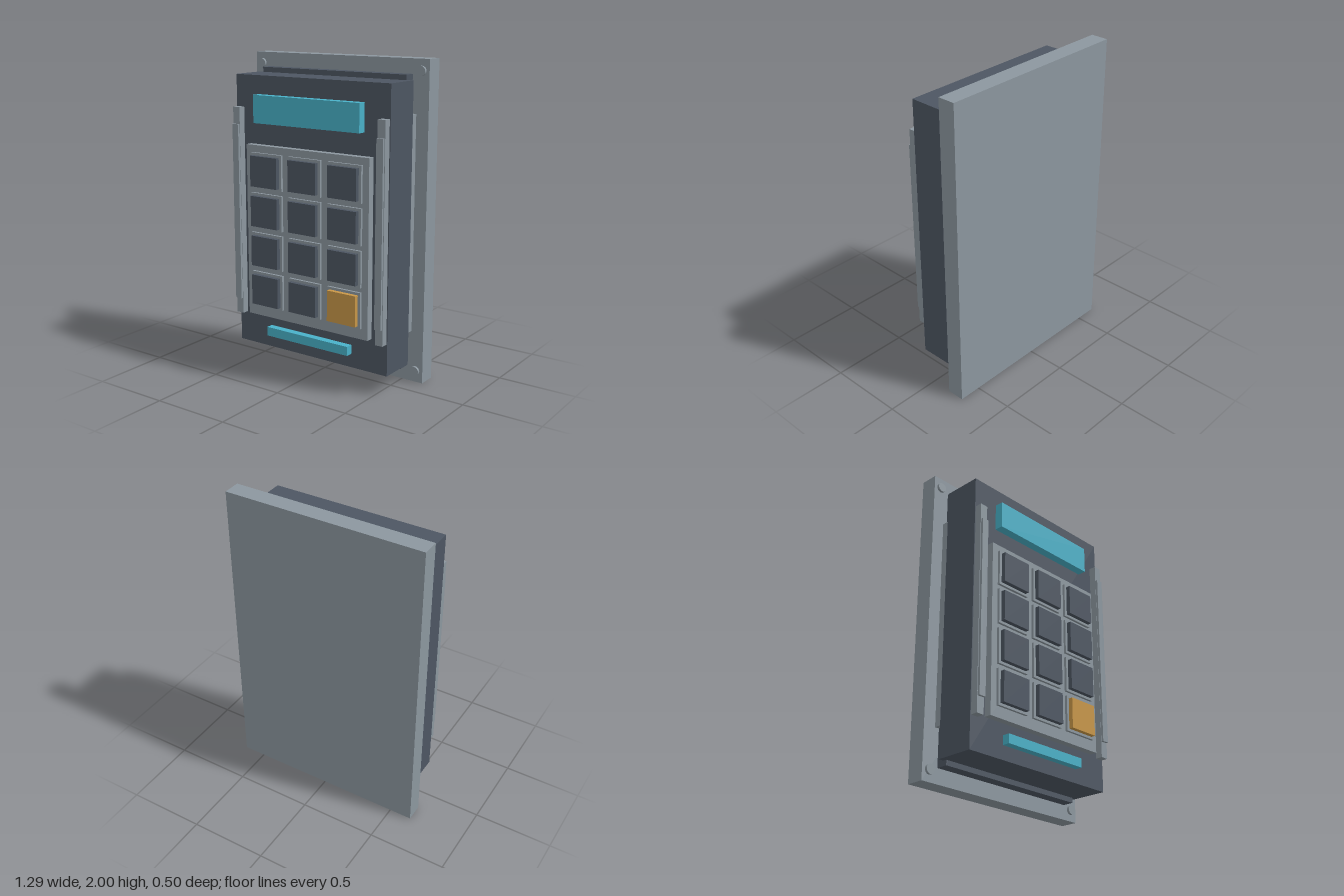
import * as THREE from 'three';

const paint = (name, color) => {
  const m = new THREE.MeshStandardMaterial({ color });
  m.name = name;
  return m;
};

export function createModel() {
  const model = new THREE.Group();
  model.name = 'keypadPanel';
  const grey = paint('light grey', 0x8c979f);
  const dark = paint('dark slate', 0x4d5662);
  const cyan = paint('cyan', 0x49b1c8);
  const amber = paint('amber', 0xc89748);

  // Box given by its extents on each axis
  const box = (name, mat, [x0, x1], [y0, y1], [z0, z1]) => {
    const mesh = new THREE.Mesh(new THREE.BoxGeometry(x1 - x0, y1 - y0, z1 - z0), mat);
    mesh.position.set((x0 + x1) / 2, (y0 + y1) / 2, (z0 + z1) / 2);
    mesh.name = name;
    model.add(mesh);
  };

  // Wall plate, recessed neck and main housing
  box('backPlate', grey, [-0.645, 0.645], [0, 2], [-0.25, -0.137]);
  box('neck', dark, [-0.533, 0.533], [0.095, 1.91], [-0.14, -0.064]);
  box('housing', dark, [-0.568, 0.568], [0.127, 1.878], [-0.088, 0.158]);

  // Display, status light and keypad base
  box('display', cyan, [-0.392, 0.392], [1.588, 1.762], [0.15, 0.213]);
  box('statusLight', cyan, [-0.311, 0.311], [0.215, 0.273], [0.15, 0.205]);
  box('keypadBase', grey, [-0.457, 0.457], [0.343, 1.45], [0.15, 0.204]);

  // Keys on raised surrounds, with an amber enter key
  [1.292, 1.037, 0.781, 0.525].forEach((y, row) => {
    [-0.293, 0, 0.293].forEach((x, col) => {
      box('keySurround', grey, [x - 0.12, x + 0.12], [y - 0.113, y + 0.113], [0.2, 0.22]);
      const enter = row === 3 && col === 2;
      box(enter ? 'enterKey' : 'key', enter ? amber : dark,
        [x - 0.103, x + 0.103], [y - 0.097, y + 0.097], [0.21, 0.248]);
    });
  });

  for (const side of [-1, 1]) {
    // Side rails run through the housing to the wall plate
    const span = (a, b) => (side > 0 ? [a, b] : [-b, -a]);
    box('sideRail', grey, span(0.51, 0.562), [0.329, 1.677], [-0.14, 0.204]);
    box('railGrip', grey, span(0.512, 0.558), [0.431, 1.571], [0.2, 0.219]);

    // Corner bolts
    for (const y of [0.073, 1.93]) {
      const bolt = new THREE.Mesh(new THREE.CylinderGeometry(0.03, 0.03, 0.03, 16), grey);
      bolt.rotation.x = Math.PI / 2;
      bolt.position.set(side * 0.594, y, -0.136);
      bolt.name = 'cornerBolt';
      model.add(bolt);
    }
  }
  return model;
}
